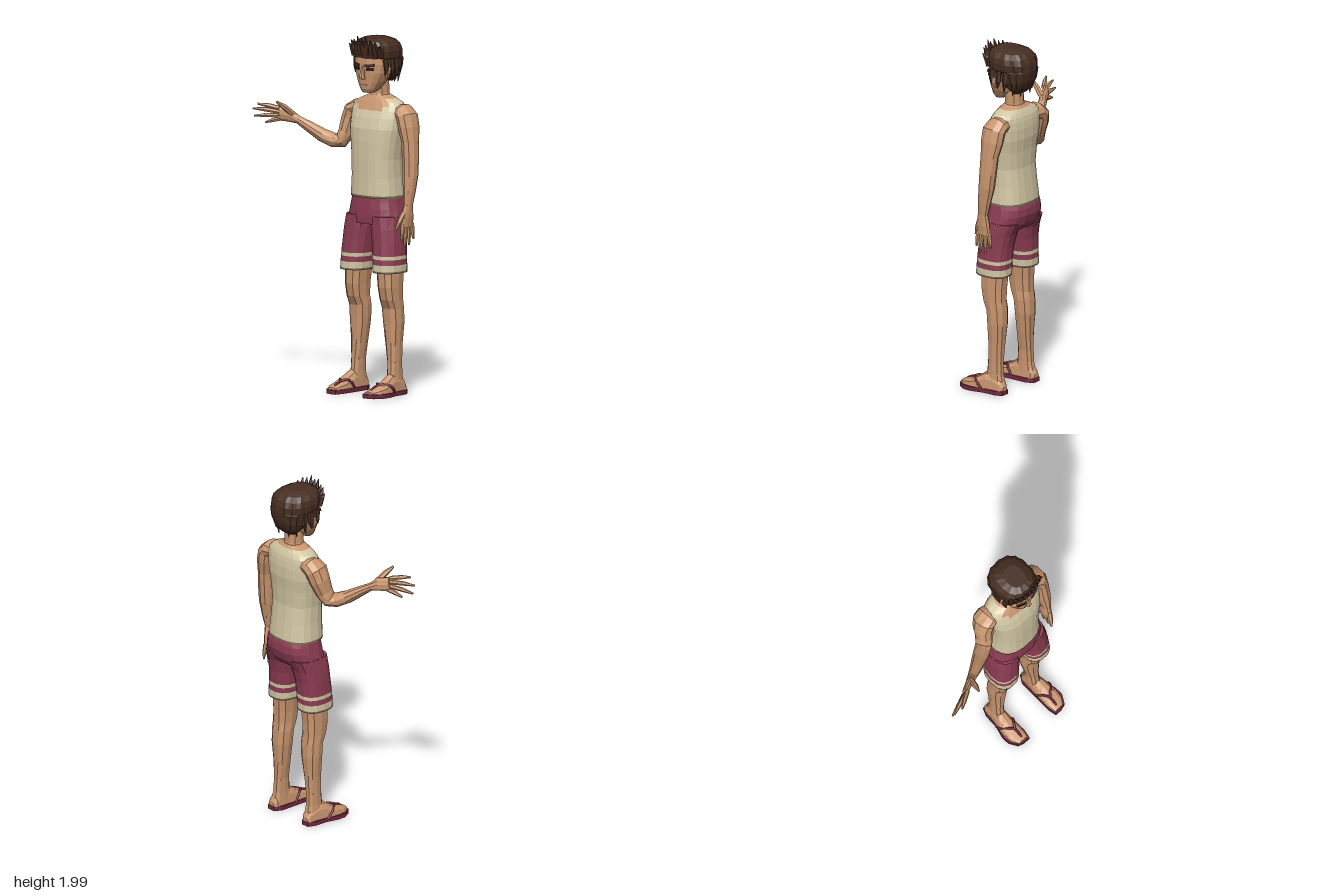
import * as THREE from 'three';

const V = (x, y, z) => new THREE.Vector3(x, y, z);
const mat = (name, color) => Object.assign(new THREE.MeshStandardMaterial({ color }), { name });
const skin = mat('skin', 0xc9966f);
const cream = mat('cream cloth', 0xd2c6a3);
const maroon = mat('maroon cloth', 0x8c3c52);
const sandal = mat('sandal maroon', 0x74283f);
const hairBrown = mat('hair brown', 0x472e22);
const hemGrey = mat('hem grey', 0x6f6b55);
const dark = mat('eye dark', 0x2a1a17);
const lip = mat('lip', 0xa06a50);

const CX = 0.205; // body centre line

// Faceted skin over a list of rings; pick(i, centre) chooses the material index of a face
function loft(name, rings, mats, pick = () => 0) {
  const list = [].concat(mats), buckets = list.map(() => []);
  const n = rings[0].length;
  const tri = (i, a, b, c) => {
    const mid = a.clone().add(b).add(c).divideScalar(3);
    buckets[pick(i, mid)].push(a, b, c);
  };
  for (let i = 0; i < rings.length - 1; i++) for (let j = 0; j < n; j++) {
    const k = (j + 1) % n, [p, q] = [rings[i], rings[i + 1]];
    const mid = p[j].clone().add(p[k]).add(q[k]).add(q[j]).divideScalar(4);
    buckets[pick(i, mid)].push(p[j], p[k], q[k], p[j], q[k], q[j]);
  }
  [0, rings.length - 1].forEach((r) => {
    const ring = rings[r], c = V(0, 0, 0);
    ring.forEach((p) => c.add(p));
    c.divideScalar(n);
    for (let j = 0; j < n; j++) {
      const a = ring[j], b = ring[(j + 1) % n];
      r ? tri(r - 1, c, a, b) : tri(0, c, b, a);
    }
  });
  const g = new THREE.BufferGeometry().setFromPoints(buckets.flat());
  let start = 0;
  buckets.forEach((b, i) => { g.addGroup(start, b.length, i); start += b.length; });
  g.computeVertexNormals();
  const mesh = new THREE.Mesh(g, list);
  mesh.name = name;
  return mesh;
}

// Level ring: height, x centre, half width, front z, back z
const pw = (v, e) => Math.sign(v) * Math.abs(v) ** e;
function level(y, x, hx, zf, zb, n = 12, ridge = 0) {
  return Array.from({ length: n }, (_, j) => {
    const a = ((j + 0.5) / n) * Math.PI * 2, k = j % 2 ? 1 - ridge : 1;
    return V(x + hx * k * pw(Math.sin(a), 0.8), y, (zf + zb) / 2 + ((zf - zb) / 2) * k * pw(Math.cos(a), 0.8));
  });
}

// Limb along a path of [x, y, z, radius across, radius in depth]
function limb(name, path, m, n = 8) {
  const pts = path.map((p) => V(p[0], p[1], p[2]));
  const rings = path.map((p, i) => {
    const t = pts[Math.min(i + 1, pts.length - 1)].clone().sub(pts[Math.max(i - 1, 0)]).normalize();
    const A = t.clone().cross(V(0, 0, 1)).normalize(), B = t.clone().cross(A);
    return Array.from({ length: n }, (_, j) => {
      const a = ((j + 0.5) / n) * Math.PI * 2;
      return pts[i].clone().addScaledVector(A, p[3] * Math.cos(a)).addScaledVector(B, (p[4] ?? p[3]) * Math.sin(a));
    });
  });
  return loft(name, rings, m);
}

// Finger bending slightly from knuckle to tip
function finger(name, a, b, r = 0.012) {
  const m = a.map((v, i) => v * 0.45 + b[i] * 0.55);
  return limb(name, [[...a, r], [m[0], m[1] + 0.003, m[2], r * 0.95], [...b, r * 0.4]], skin, 6);
}

function buildTorso(g) {
  const shirt = [[1.09, .155, .052, -.196], [1.102, .154, .052, -.195], [1.2, .146, .05, -.183], [1.3, .145, .05, -.172],
    [1.4, .157, .047, -.176], [1.47, .168, .042, -.184], [1.53, .17, .025, -.183], [1.57, .17, .008, -.178],
    [1.595, .164, -.004, -.172], [1.615, .145, -.014, -.162], [1.635, .1, -.025, -.15], [1.652, .055, -.035, -.138]];
  g.add(loft('tankTop', shirt.map(([y, ...r]) => level(y, CX, ...r, 20)), [cream, skin, hemGrey], (i, c) => {
    if (i === 0) return 2;
    const scoop = Math.abs(c.x - CX) < 0.1 && c.y > (c.z > -0.06 ? 1.572 : 1.63);
    return scoop || c.y > 1.64 ? 1 : 0;
  }));
  g.add(loft('neck', [[1.62, .06, -.025, -.145], [1.66, .052, -.038, -.133], [1.76, .05, -.03, -.13]]
    .map(([y, ...r]) => level(y, CX, ...r, 10)), skin));
  // Shorts: hips, then two legs with striped cuffs
  g.add(loft('shortsHips', [[.945, .165, .045, -.165], [.98, .175, .047, -.19], [1.03, .165, .045, -.205], [1.07, .157, .04, -.203], [1.11, .149, .037, -.19]]
    .map(([y, ...r]) => level(y, CX, ...r, 16)), maroon));
  for (const s of [-1, 1]) {
    const cuffs = [[.68, .037, .2, .064, -.135], [.69, .036, .2, .064, -.135], [.725, .034, .199, .062, -.135], [.755, .032, .197, .06, -.135],
      [.775, .03, .196, .059, -.135], [.85, .022, .191, .053, -.14], [.92, .01, .185, .05, -.155], [.99, .004, .174, .046, -.185]];
    g.add(loft('shortsLeg', cuffs.map(([y, a, b, zf, zb]) => level(y, CX + s * (a + b) / 2, (b - a) / 2, zf, zb, 14)),
      [maroon, cream, hemGrey], (i) => [2, 1, 0, 1][i] ?? 0));
  }
}

function buildLegs(g) {
  // Height, inner offset, outer offset, front z, back z
  const leg = [[.05, .1, .17, .005, -.122], [.11, .102, .166, -.008, -.108], [.18, .1, .165, -.014, -.105], [.28, .084, .168, -.014, -.108],
    [.4, .066, .178, -.01, -.117], [.48, .062, .178, -.003, -.115], [.53, .064, .178, .022, -.11], [.6, .06, .18, .036, -.111], [.74, .045, .18, .037, -.122]];
  // Along z: inner offset, outer offset, top height
  const foot = [[-.128, .12, .16, .05], [-.11, .103, .172, .08], [-.06, .1, .175, .115], [-.01, .098, .183, .118],
    [.03, .096, .192, .09], [.08, .094, .196, .065], [.125, .096, .19, .05], [.16, .102, .165, .036]];
  const outline = [[.115, -.13], [.165, -.13], [.182, -.09], [.185, -.01], [.204, .06], [.204, .11], [.175, .16], [.14, .17], [.1, .17], [.09, .12], [.092, -.09]];
  for (const s of [-1, 1]) {
    const X = (o) => CX + s * o;
    g.add(loft('leg', leg.map(([y, a, b, zf, zb]) => level(y, X((a + b) / 2), (b - a) / 2, zf, zb, 10)), skin));
    g.add(loft('foot', foot.map(([z, a, b, top]) => Array.from({ length: 12 }, (_, j) => {
      const t = (j / 12) * Math.PI * 2;
      return V(X((a + b) / 2) + ((b - a) / 2) * pw(Math.cos(t), 0.8), .022 + (Math.sin(t) > 0 ? (top - .022) * pw(Math.sin(t), 0.8) : 0), z);
    })), skin));
    const sole = new THREE.ExtrudeGeometry(new THREE.Shape(outline.map(([o, z]) => new THREE.Vector2(X(o), -z))), { depth: 0.024, bevelEnabled: false });
    sole.rotateX(-Math.PI / 2);
    const soleMesh = new THREE.Mesh(sole, sandal);
    soleMesh.name = 'sandalSole';
    g.add(soleMesh);
    // Y-shaped strap
    const knot = [.133, .064, .088];
    [[[.133, .025, .15], [.133, .048, .128], knot], [knot, [.166, .07, .058], [.19, .055, .03], [.187, .02, 0]],
      [knot, [.115, .072, .062], [.1, .058, .04], [.096, .02, .015]]].forEach((p) => {
      const curve = new THREE.CatmullRomCurve3(p.map(([o, y, z]) => V(X(o), y, z)));
      const strap = new THREE.Mesh(new THREE.TubeGeometry(curve, 8, 0.0075, 5), sandal);
      strap.name = 'sandalStrap';
      g.add(strap);
    });
  }
}

function buildArms(g) {
  g.add(limb('leftArm', [[.33, 1.56, -.1, .045, .055], [.37, 1.562, -.098, .05, .066], [.398, 1.54, -.094, .05, .071], [.412, 1.48, -.092, .05, .068],
    [.427, 1.4, -.087, .043, .054], [.434, 1.3, -.081, .044, .05], [.438, 1.22, -.075, .042, .047], [.442, 1.13, -.062, .031, .039],
    [.442, 1.06, -.052, .022, .031], [.438, 1.0, -.05, .022, .044], [.436, .94, -.052, .016, .047]], skin, 10));
  [[-.016, .865, -.004], [-.04, .832, -.03], [-.064, .838, -.065], [-.088, .868, -.1]].forEach(([z, y, tz]) =>
    g.add(finger('leftFinger', [.436, .955, z], [.438, y, tz], .013)));
  g.add(finger('leftThumb', [.438, 1.02, -.025], [.415, .925, .02], .016));

  g.add(limb('rightArm', [[.08, 1.56, -.1, .045, .055], [.04, 1.562, -.098, .05, .066], [.012, 1.545, -.094, .052, .07], [-.004, 1.49, -.084, .054, .062],
    [-.018, 1.42, -.062, .046, .052], [-.04, 1.374, -.042, .043, .048], [-.075, 1.375, -.02, .04, .045], [-.13, 1.402, .014, .037, .042],
    [-.19, 1.445, .05, .03, .034], [-.245, 1.482, .08, .022, .025], [-.29, 1.505, .103, .038, .02], [-.345, 1.515, .13, .042, .016]], skin, 10));
  [[1.545, .14, -.437, 1.566, .203], [1.524, .135, -.482, 1.535, .19], [1.503, .13, -.485, 1.492, .176], [1.484, .122, -.425, 1.458, .15]]
    .forEach(([y, z, ...tip]) => g.add(finger('rightFinger', [-.335, y, z], tip, .013)));
  g.add(finger('rightThumb', [-.27, 1.515, .1], [-.302, 1.588, .195], .017));
}

function buildHead(g) {
  g.add(loft('face', [[1.67, .034, .034, -.02], [1.69, .052, .045, -.06], [1.73, .076, .05, -.1], [1.78, .097, .054, -.12],
    [1.83, .104, .058, -.14], [1.9, .1, .055, -.14], [1.94, .07, .03, -.12]].map(([y, ...r]) => level(y, CX, ...r, 14)), skin));
  const plate = (name, x, y, z, w, h, ry, rz, m) => {
    const p = new THREE.Mesh(new THREE.BoxGeometry(w, h, 0.009), m);
    p.position.set(CX + x, y, z);
    p.rotation.set(0, ry, rz);
    p.name = name;
    g.add(p);
  };
  g.add(loft('nose', [[1.748, .017, .074, .04], [1.762, .014, .078, .04], [1.825, .007, .06, .045]].map(([y, ...r]) => level(y, CX, ...r, 6)), skin));
  plate('mouth', 0, 1.715, .046, .045, .005, 0, 0, lip);
  for (const s of [-1, 1]) {
    plate('eye', s * .046, 1.805, .049, .042, .017, s * .35, 0, dark);
    plate('eyebrow', s * .048, 1.826, .053, .056, .013, s * .35, s * .08, hairBrown);
    g.add(limb('ear', [[CX + s * .1, 1.755, -.035, .008, .012], [CX + s * .109, 1.785, -.03, .01, .022], [CX + s * .112, 1.815, -.035, .008, .02]], skin, 6));
    // Sideburns and ragged lower strands
    [[.108, -.012, 1.77], [.112, -.06, 1.755], [.106, -.1, 1.738], [.085, -.145, 1.722], [.04, -.165, 1.712]].forEach(([x, z, y]) =>
      g.add(limb('hairStrand', [[CX + s * x, 1.86, z, .013, .02], [CX + s * (x + .004), 1.8, z - .004, .011, .018], [CX + s * x, y, z + .006, .002]], hairBrown, 5)));
  }
  // Ridged cap of hair, open over the face
  g.add(loft('hair', [[1.725, .055, -.1, -.152], [1.76, .09, -.07, -.178], [1.8, .108, -.05, -.195], [1.855, .116, -.02, -.205], [1.862, .118, .06, -.206],
    [1.9, .121, .062, -.205], [1.93, .114, .06, -.194], [1.955, .093, .05, -.168], [1.972, .055, .015, -.12]]
    .map(([y, ...r]) => level(y, CX, ...r, 30, 0.04)), hairBrown));
  // Upswept fringe
  [[-.1, 1.935], [-.075, 1.96], [-.05, 1.965], [-.022, 1.985], [.006, 1.975], [.028, 1.99], [.055, 1.97], [.078, 1.965], [.102, 1.94]].forEach(([x, y]) => {
    const z = .05 - x * x * 3;
    g.add(limb('fringeSpike', [[CX + x, 1.868, z - .004, .014], [CX + x, 1.915, z + .008, .018], [CX + x * 1.1 + .004, y, z + .028, .002]], hairBrown, 5));
  });
}

export function createModel() {
  const model = new THREE.Group();
  model.name = 'standingMan';
  for (const [name, build] of Object.entries({ torso: buildTorso, legs: buildLegs, arms: buildArms, head: buildHead })) {
    const part = new THREE.Group();
    part.name = name;
    build(part);
    model.add(part);
  }
  return model;
}
